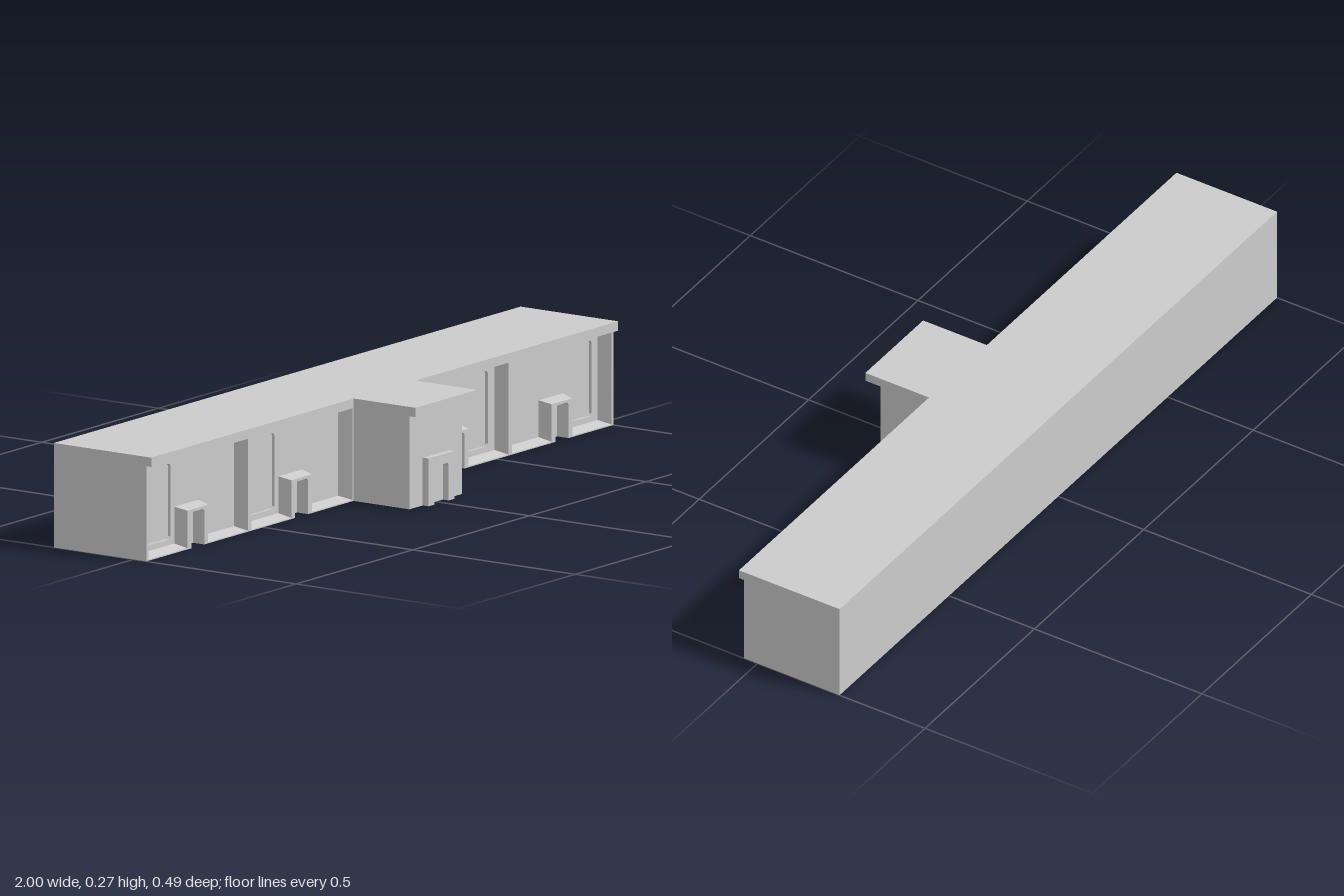
import * as THREE from 'three';

const MAT = new THREE.MeshStandardMaterial({ color: 0xcccccc, flatShading: true });
const BACK = -0.245, CORE = -0.003, WALL = 0.005, FRONT = 0.04;

const points = (list) => list.map(([x, y]) => new THREE.Vector2(x, y));
const extrude = (shape, depth) => new THREE.ExtrudeGeometry(shape, { depth, bevelEnabled: false });

// Rectangle with small cut corners
function cutRect(x0, x1, y0, y1, c) {
  return points([[x0 + c, y0], [x1 - c, y0], [x1, y0 + c], [x1, y1 - c],
    [x1 - c, y1], [x0 + c, y1], [x0, y1 - c], [x0, y0 + c]]);
}

export function createModel() {
  const model = new THREE.Group();
  const add = (name, geometry) => {
    const mesh = new THREE.Mesh(geometry, MAT);
    mesh.name = name;
    model.add(mesh);
    return mesh;
  };
  const box = (name, x0, x1, y0, y1, z0, z1) =>
    add(name, new THREE.BoxGeometry(x1 - x0, y1 - y0, z1 - z0)
      .translate((x0 + x1) / 2, (y0 + y1) / 2, (z0 + z1) / 2));

  // Bar along x with a cross-section given as [z, y]
  const barX = (name, section, x0, x1) => {
    const shape = new THREE.Shape(points(section.map(([z, y]) => [-z, y])));
    add(name, extrude(shape, x1 - x0).rotateY(Math.PI / 2).translate(x0, 0, 0));
  };
  // Upright post with splayed sides: wide at the wall, narrow at the front
  const post = (name, back0, back1, front0, front1) => {
    const shape = new THREE.Shape(points([[back0, WALL], [back1, WALL], [front1, FRONT], [front0, FRONT]]));
    add(name, extrude(shape, 0.243).rotateX(Math.PI / 2).translate(0, 0.243, 0));
  };
  // Door surround whose outer edges taper towards the front
  const doorFrame = (name, x, z0, z1, half, top, openHalf, openTop, taper) => {
    const shape = new THREE.Shape(points([[-half, 0], [-openHalf, 0],
      [-openHalf, openTop - 0.006], [-openHalf + 0.006, openTop],
      [openHalf - 0.006, openTop], [openHalf, openTop - 0.006],
      [openHalf, 0], [half, 0], [half, top], [-half, top]]));
    const geometry = extrude(shape, z1 - z0);
    const p = geometry.attributes.position;
    for (let i = 0; i < p.count; i++) {
      if (p.getZ(i) < 1e-5) continue;
      const px = p.getX(i);
      if (Math.abs(px) > half - 1e-4) p.setX(i, px - Math.sign(px) * taper);
      if (p.getY(i) > top - 1e-4) p.setY(i, top - taper);
    }
    geometry.computeVertexNormals();
    add(name, geometry.translate(x, 0, z0));
  };

  // Main block and roof
  box('mainBlock', -1, 1, 0, 0.243, BACK, CORE);
  box('roof', -1, 1, 0.243, 0.267, BACK, 0.055);

  // Bay wall with shallow window recesses
  const wall = new THREE.Shape(points([[-1, 0], [1, 0], [1, 0.243], [-1, 0.243]]));
  for (const side of [-1, 1]) for (const x of [0.457, 0.902]) {
    wall.holes.push(new THREE.Path(cutRect(side * x - 0.054, side * x + 0.054, 0.027, 0.22, 0.006)));
  }
  add('bayWall', extrude(wall, WALL - CORE).translate(0, 0, CORE));

  // Pilasters, ledges, lintels and bay doors on both wings
  for (const s of [-1, 1]) {
    const pilaster = (name, b0, b1, f0, f1) =>
      s > 0 ? post(name, b0, b1, f0, f1) : post(name, -b1, -b0, -f1, -f0);
    pilaster('endPilaster', 0.98, 1, 0.992, 1);
    pilaster('middlePilaster', 0.54, 0.576, 0.55, 0.566);
    pilaster('porchPilaster', 0.1, 0.13, 0.1, 0.117);

    const lintel = [[WALL, 0.23], [FRONT, 0.24], [FRONT, 0.243], [WALL, 0.243]];
    barX('lintel', lintel, Math.min(s * 0.1, s * 0.995), Math.max(s * 0.1, s * 0.995));

    // The ledge is broken at each door opening
    const ledge = [[WALL, 0], [FRONT, 0], [FRONT, 0.003], [WALL, 0.012]];
    for (const [a, b] of [[0.1, 0.307], [0.363, 0.752], [0.808, 0.995]]) {
      barX('ledge', ledge, Math.min(s * a, s * b), Math.max(s * a, s * b));
    }
    for (const x of [0.335, 0.78]) {
      doorFrame('bayDoorFrame', s * x, WALL, FRONT, 0.051, 0.106, 0.028, 0.092, 0.007);
    }
  }

  // Projecting entrance porch
  box('porch', -0.113, 0.113, 0, 0.243, CORE, 0.212);
  box('porchRoof', -0.133, 0.131, 0.243, 0.267, 0.055, 0.245);
  doorFrame('porchDoorFrame', 0, 0.212, 0.23, 0.056, 0.122, 0.03, 0.097, 0);

  return model;
}
